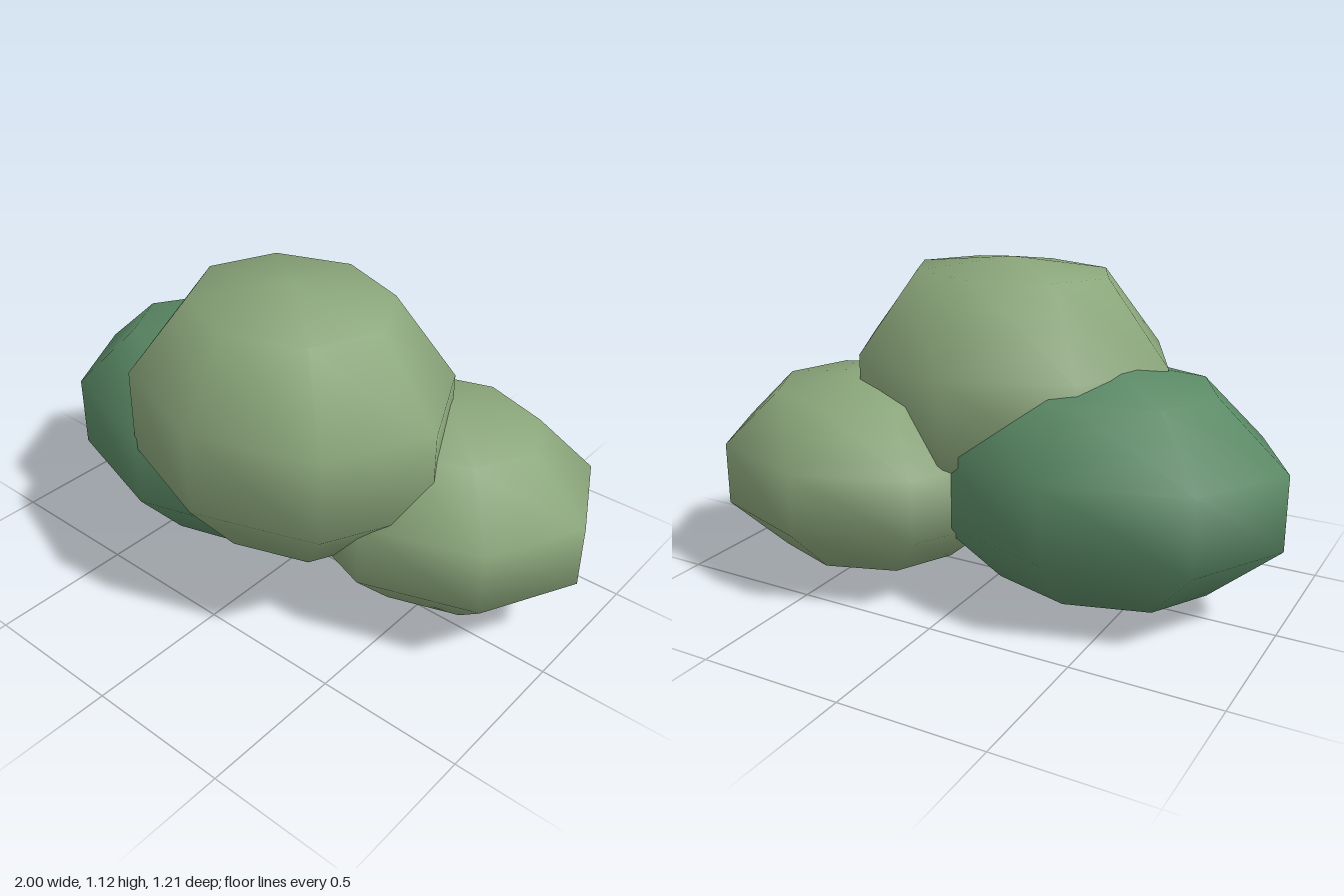
import * as THREE from 'three';

export function createModel() {
  const group = new THREE.Group();
  group.name = 'bush';

  const sageGreen = new THREE.MeshStandardMaterial({ color: 0x8aa57a });
  sageGreen.name = 'sageGreen';
  const deepGreen = new THREE.MeshStandardMaterial({ color: 0x5b8a66 });
  deepGreen.name = 'deepGreen';

  // Smooth eight-sided clump; the upper ring is lifted a little at its front and back
  function addClump(name, material, center, radii, frontLift, backLift) {
    const geometry = new THREE.SphereGeometry(1, 8, 5);
    geometry.scale(...radii);
    const pos = geometry.attributes.position;
    for (let i = 0; i < pos.count; i++) {
      const level = pos.getY(i) / radii[1];
      if (level > 0.7 && level < 0.9) {
        const t = (pos.getZ(i) / (radii[2] * 0.588) + 1) / 2;
        pos.setY(i, pos.getY(i) + THREE.MathUtils.lerp(backLift, frontLift, t));
      }
    }
    const mesh = new THREE.Mesh(geometry, material);
    mesh.name = name;
    mesh.position.set(...center);
    group.add(mesh);
  }

  addClump('middleClump', sageGreen, [0.03, 0.655, 0.12], [0.61, 0.467, 0.51], 0.035, 0.055);
  addClump('rightClump', deepGreen, [-0.37, 0.418, 0.01], [0.663, 0.418, 0.485], 0.01, 0);
  addClump('leftClump', sageGreen, [0.46, 0.378, -0.155], [0.567, 0.352, 0.478], 0.025, 0.005);

  return group;
}
